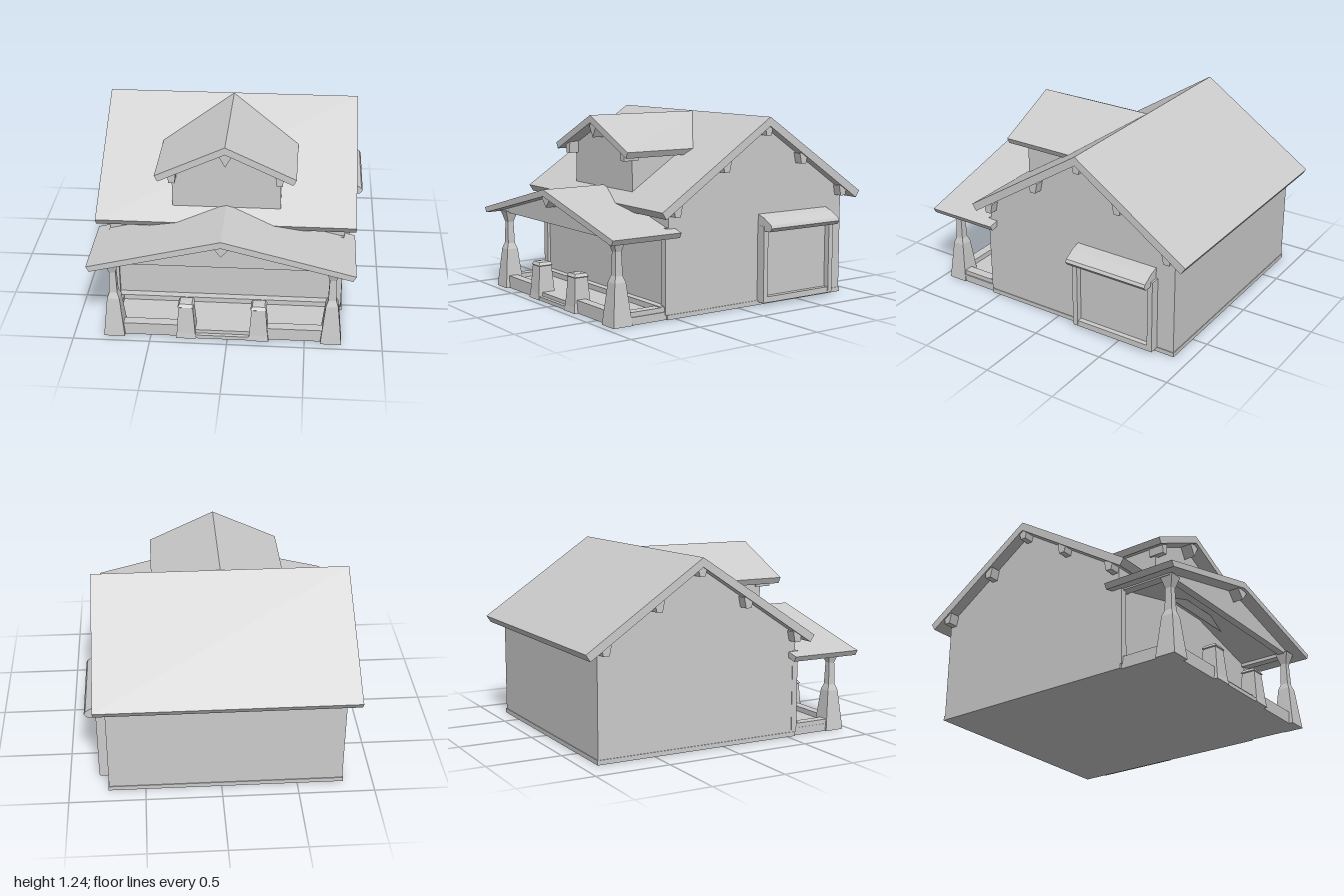
import * as THREE from 'three';

const CX = -0.033; // centre line of the house

export function createModel() {
  const house = new THREE.Group();
  house.name = 'house';
  const mat = new THREE.MeshStandardMaterial({ color: 0xcccccc, flatShading: true });

  const add = (name, geo, parent = house) => {
    const m = new THREE.Mesh(geo, mat);
    m.name = name;
    parent.add(m);
    return m;
  };
  const group = (name) => {
    const g = new THREE.Group();
    g.name = name;
    house.add(g);
    return g;
  };
  // box given by its minimum and maximum corners
  const box = (name, a, b, parent) => {
    const g = new THREE.BoxGeometry(b[0] - a[0], b[1] - a[1], b[2] - a[2]);
    g.translate((a[0] + b[0]) / 2, (a[1] + b[1]) / 2, (a[2] + b[2]) / 2);
    return add(name, g, parent);
  };
  const extrude = (pts, depth) =>
    new THREE.ExtrudeGeometry(new THREE.Shape(pts.map((p) => new THREE.Vector2(...p))),
      { depth, bevelEnabled: false });
  // profile in (x, y), swept from z0 to z1
  const alongZ = (pts, z0, z1) => extrude(pts, z1 - z0).translate(0, 0, z0);
  // profile in (z, y), swept from x0 to x1
  const alongX = (pts, x0, x1) =>
    extrude(pts.map(([z, y]) => [-z, y]), x1 - x0).rotateY(Math.PI / 2).translate(x0, 0, 0);
  // bent roof slab: two eaves and a ridge, with square-cut edges
  const chevron = (a, ridge, b, t, cut) => [
    a, ridge, b, [b[0] - Math.sign(b[0] - ridge[0]) * cut, b[1] - t + cut * 0.5],
    [ridge[0], ridge[1] - t], [a[0] - Math.sign(a[0] - ridge[0]) * cut, a[1] - t + cut * 0.5]];

  // Main walls with gable ends
  add('mainWalls', alongX([[-0.89, 0.01], [0.55, 0.01], [0.55, 0.7],
    [-0.2, 1.19], [-0.89, 0.72]], -0.8, 0.74));
  box('foundation', [-0.805, 0, -0.895], [0.745, 0.03, 0.56]);

  // Main roof
  add('mainRoof', alongX(chevron([0.645, 0.69], [-0.2, 1.24], [-1, 0.705], 0.06, 0.03), -0.88, 0.812));

  // Brackets below the gable overhangs
  const brackets = group('roofBrackets');
  for (const [x0, x1] of [[-0.87, -0.79], [0.73, 0.8]]) {
    for (const [z, y] of [[-0.2, 1.19], [0.14, 0.97], [-0.5, 0.99], [0.52, 0.72], [-0.86, 0.75]]) {
      add('gableBracket', alongX([[z - 0.035, y], [z - 0.02, y - 0.07],
        [z + 0.02, y - 0.07], [z + 0.035, y]], x0, x1), brackets);
    }
  }

  // Dormer
  const dormer = group('dormer');
  add('dormerWalls', alongZ([[-0.385, 0.7], [0.32, 0.7], [0.32, 1.03],
    [CX, 1.19], [-0.385, 1.03]], -0.1, 0.54), dormer);
  add('dormerRoof', alongZ(chevron([-0.485, 1.025], [CX, 1.238], [0.42, 1.025], 0.05, 0.02),
    -0.2, 0.64), dormer);
  for (const s of [-1, 1]) {
    const x = CX + s * 0.345;
    add('dormerBracket', alongZ([[x - 0.03, 1.06], [x - 0.02, 0.96],
      [x + 0.02, 0.96], [x + 0.03, 1.06]], 0.5, 0.61), dormer);
  }
  add('dormerRidgeBracket', alongZ([[CX - 0.05, 1.18], [CX, 1.09], [CX + 0.05, 1.18]], 0.53, 0.62), dormer);

  // Porch floor, low kerbs and centre step
  const porch = group('porch');
  box('porchFloor', [-0.79, 0, 0.54], [0.73, 0.05, 0.92], porch);
  box('porchBackLedge', [-0.78, 0.03, 0.54], [0.72, 0.085, 0.6], porch);
  for (const s of [-1, 1]) {
    const ends = [CX + s * 0.24, CX + s * 0.7].sort((a, b) => a - b);
    box('porchFrontKerb', [ends[0], 0, 0.86], [ends[1], 0.085, 0.925], porch);
    const edge = [CX + s * 0.69, CX + s * 0.755].sort((a, b) => a - b);
    box('porchSideKerb', [edge[0], 0, 0.55], [edge[1], 0.08, 0.9], porch);
  }
  box('porchStep', [-0.26, 0, 0.9], [0.19, 0.025, 0.945], porch);

  // Tapered square columns and short piers
  const pillar = (name, profile, x, z) => {
    const pts = profile.map(([r, y]) => new THREE.Vector2(r * Math.SQRT2, y));
    const g = new THREE.LatheGeometry(pts, 4, Math.PI / 4).toNonIndexed();
    g.computeVertexNormals();
    add(name, g, porch).position.set(x, 0, z);
  };
  const column = [[0, 0], [0.068, 0], [0.062, 0.06], [0.04, 0.27], [0.026, 0.31],
    [0.021, 0.46], [0.045, 0.54], [0, 0.54]];
  const pier = [[0, 0], [0.066, 0], [0.06, 0.04], [0.046, 0.225], [0.052, 0.23], [0.04, 0.25], [0, 0.255]];
  for (const s of [-1, 1]) {
    pillar('porchColumn', column, CX + s * 0.703, 0.885);
    pillar('porchPier', pier, CX + s * 0.235, 0.885);
  }

  // Pilasters where the porch meets the wall
  for (const s of [-1, 1]) {
    const x = CX + s * 0.745;
    box('wallPilaster', [x - 0.025, 0.03, 0.53], [x + 0.025, 0.58, 0.57], porch);
  }

  // Porch roof with its front gable and beams
  add('porchRoof', alongZ(chevron([-0.885, 0.555], [CX, 0.77], [0.81, 0.555], 0.045, 0.02),
    0.5, 1), porch);
  add('porchGable', alongZ([[-0.75, 0.53], [0.685, 0.53], [0.685, 0.56],
    [CX, 0.735], [-0.75, 0.56]], 0.86, 0.91), porch);
  for (const s of [-1, 1]) {
    const x = CX + s * 0.72;
    box('porchSideBeam', [x - 0.03, 0.53, 0.53], [x + 0.03, 0.57, 0.91], porch);
  }
  add('porchRidgeBracket', alongZ([[CX - 0.06, 0.72], [CX, 0.65], [CX + 0.06, 0.72]], 0.9, 0.98), porch);

  // Side doorway: jambs, sunken door, sill and lean-to roof
  const side = group('sideDoorway');
  for (const z of [-0.18, -0.75]) {
    box('doorJamb', [0.72, 0.03, z - 0.018], [0.805, 0.53, z + 0.018], side);
  }
  box('doorPanel', [0.72, 0.05, -0.74], [0.765, 0.52, -0.19], side);
  box('doorSill', [0.72, 0.02, -0.765], [0.8, 0.06, -0.165], side);
  add('doorRoof', alongZ([[0.72, 0.5], [0.86, 0.5], [0.88, 0.525], [0.87, 0.545],
    [0.8, 0.585], [0.72, 0.61]], -0.755, -0.165), side);

  return house;
}
